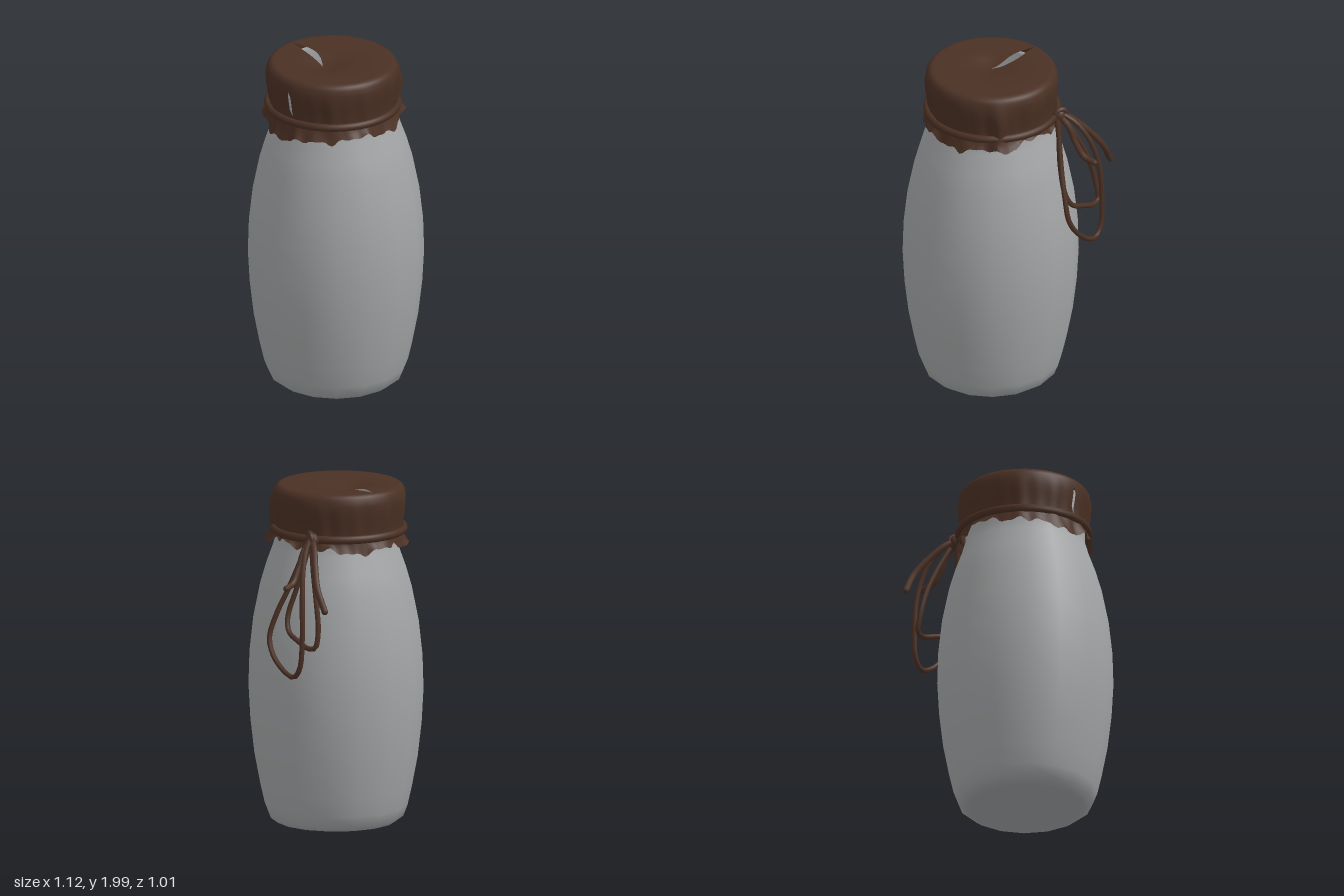
import * as THREE from 'three';
import { mergeVertices } from 'three/addons/utils/BufferGeometryUtils.js';

const V = (x, y, z) => new THREE.Vector3(x, y, z);

// Sixteen-sided jar: outer wall, lip, then inner wall and floor
function jarGeometry() {
  const outer = [[0, 0.012], [0.32, 0.01], [0.35, 0.015], [0.39, 0.045], [0.415, 0.11], [0.44, 0.22],
    [0.474, 0.4], [0.497, 0.6], [0.508, 0.8], [0.502, 1.0], [0.48, 1.2], [0.44, 1.4], [0.405, 1.52],
    [0.365, 1.63], [0.345, 1.7], [0.342, 1.8], [0.345, 1.94], [0.335, 1.955]];
  const inner = [[0.32, 1.94], [0.318, 1.7], [0.34, 1.62], [0.415, 1.4], [0.477, 1.0], [0.483, 0.8],
    [0.45, 0.4], [0.39, 0.11], [0.34, 0.05], [0, 0.04]];
  const profile = [...outer, ...inner].map(([r, y]) => new THREE.Vector2(r, y));
  return new THREE.LatheGeometry(profile, 16, -0.107);
}

// Cloth cover: rings run from a dimple on the top, over the rim, to a ragged hem.
// The seam of the rings opens into a tear on the top.
function clothGeometry() {
  const N = 128, cx = -0.06, cz = -0.02, px = -0.1, pz = -0.06, R = 0.35, seam = -1.4;
  const side = [[0.366, 1.985], [0.378, 1.965], [0.384, 1.93], [0.382, 1.89], [0.377, 1.85],
    [0.37, 1.81], [0.366, 1.77], [0.364, 1.74], [0.372, 1.715]];
  const hem = (a) => 1.663 + 0.02 * Math.cos(a) + 0.014 * Math.sin(3 * a + 1) + 0.012 * Math.sin(7 * a)
    + 0.01 * Math.sin(17 * a) + 0.007 * Math.sin(29 * a + 2);
  const bump = (a, at, width) => {
    const d = (a - at + 9 * Math.PI) % (2 * Math.PI) - Math.PI;
    return Math.exp(-((d / width) ** 2));
  };
  const pos = [], index = [], topRows = 20;

  for (let i = 1; i <= topRows; i++) {
    const t = i / topRows;
    const halfGap = t < 0.95 ? 0.026 * Math.sin(Math.PI * t / 0.95) ** 1.3 / (R * t) : 0;
    for (let j = 0; j <= N; j++) {
      const u = halfGap ? j / N : (j % N) / N;
      const a = seam + 0.45 * (1 - t) ** 2 + halfGap + u * (2 * Math.PI - 2 * halfGap);
      const x = px + (cx + R * Math.cos(a) - px) * t, z = pz + (cz + R * Math.sin(a) - pz) * t;
      pos.push(x, 1.997 - 0.04 * Math.exp(-((t / 0.35) ** 2)), z);
    }
  }
  const rows = [...side, [0.382, -0.5], [0.396, -1]]; // negative: fraction of the way to the hem
  for (const [radius, level] of rows) {
    for (let j = 0; j <= N; j++) {
      const a = seam + (j % N) / N * 2 * Math.PI;
      // folds fade out at the rim; one big fold sits at the front
      const y = level > 0 ? level : 1.715 + (hem(a) - 1.715) * -level;
      const fold = Math.min(1, Math.max(0, (1.96 - y) / 0.12));
      let r = radius + fold * (0.004 * Math.sin(11 * a) + 0.003 * Math.sin(23 * a + 1));
      r += 0.03 * fold * bump(a, 0.8, 0.13);
      if (level < 0) r += -level * (0.008 * Math.sin(9 * a + 2) + 0.02 * bump(a, 3.05, 0.1));
      pos.push(cx + r * Math.cos(a), y, cz + r * Math.sin(a));
    }
  }
  const slit = Math.round((Math.PI - seam) / (2 * Math.PI) * N);
  for (let i = 0; i < topRows + rows.length - 1; i++) {
    for (let j = 0; j < N; j++) {
      const A = i * (N + 1) + j, C = A + 1, B = A + N + 1, D = B + 1;
      const s = i - topRows; // narrow slit in the side, tapered at both ends
      if (j === slit && s >= 2 && s <= 5) {
        if (s === 2) index.push(A, C, B);
        if (s === 5) index.push(C, D, B);
        continue;
      }
      index.push(A, C, B, C, D, B);
    }
  }
  // close the centre of the dimple
  const centre = pos.length / 3;
  pos.push(px, 1.957, pz);
  for (let j = 0; j < N; j++) index.push(centre, j + 1, j);

  const g = new THREE.BufferGeometry();
  g.setAttribute('position', new THREE.Float32BufferAttribute(pos, 3));
  g.setIndex(index);
  const merged = mergeVertices(g);
  merged.computeVertexNormals();
  return merged;
}

export function createModel() {
  const model = new THREE.Group();
  const glass = new THREE.MeshStandardMaterial({ color: 0xa3a5a6 });
  glass.name = 'grey jar';
  const leather = new THREE.MeshStandardMaterial({ color: 0x4a3024, side: THREE.DoubleSide });
  leather.name = 'brown cloth and cord';

  const add = (name, geometry, material, parent = model) => {
    const mesh = new THREE.Mesh(geometry, material);
    mesh.name = name;
    parent.add(mesh);
    return mesh;
  };

  add('jar', jarGeometry(), glass).position.x = -0.052;
  add('clothCover', clothGeometry(), leather);

  // Cord round the neck
  const ring = add('neckCord', new THREE.TorusGeometry(0.378, 0.019, 8, 64), leather);
  ring.rotation.x = Math.PI / 2;
  ring.scale.z = 1.25;
  ring.position.set(-0.056, 1.738, -0.02);

  // Bow: knot, two hanging loops and two loose tails
  const bow = new THREE.Group();
  bow.name = 'bow';
  model.add(bow);
  const cord = (name, points, radius, capped) => {
    const curve = new THREE.CatmullRomCurve3(points.map((p) => V(...p)));
    add(name, new THREE.TubeGeometry(curve, 48, radius, 8), leather, bow);
    if (capped) {
      add(name + 'End', new THREE.SphereGeometry(radius, 8, 6), leather, bow)
        .position.copy(curve.getPoint(1));
    }
  };

  const knot = add('knot', new THREE.SphereGeometry(0.04, 10, 8), leather, bow);
  knot.position.set(0.315, 1.74, -0.175);
  knot.scale.set(0.9, 1.1, 1.1);
  const wrap = add('knotWrap', new THREE.TorusGeometry(0.036, 0.016, 8, 20), leather, bow);
  wrap.position.set(0.325, 1.745, -0.17);
  wrap.rotation.y = 1.1;

  cord('largeLoop', [[0.32, 1.73, -0.14], [0.35, 1.62, -0.12], [0.4, 1.46, -0.075], [0.46, 1.3, -0.03],
    [0.5, 1.17, -0.015], [0.52, 1.07, -0.07], [0.525, 0.99, -0.17], [0.525, 0.97, -0.24],
    [0.525, 1.03, -0.29], [0.52, 1.2, -0.305], [0.51, 1.4, -0.295], [0.47, 1.58, -0.26],
    [0.4, 1.7, -0.215], [0.33, 1.75, -0.18]], 0.015);
  cord('smallLoop', [[0.32, 1.72, -0.16], [0.335, 1.62, -0.14], [0.37, 1.45, -0.105], [0.42, 1.29, -0.085],
    [0.445, 1.21, -0.12], [0.46, 1.17, -0.21], [0.465, 1.14, -0.3], [0.46, 1.15, -0.35],
    [0.44, 1.24, -0.355], [0.42, 1.4, -0.32], [0.385, 1.56, -0.26], [0.34, 1.7, -0.2]], 0.015);
  cord('shortTail', [[0.33, 1.73, -0.17], [0.38, 1.68, -0.175], [0.43, 1.58, -0.18],
    [0.48, 1.51, -0.19], [0.545, 1.49, -0.2]], 0.018, true);
  cord('longTail', [[0.32, 1.75, -0.18], [0.36, 1.7, -0.24], [0.42, 1.61, -0.31],
    [0.47, 1.5, -0.38], [0.475, 1.38, -0.445]], 0.019, true);

  return model;
}
